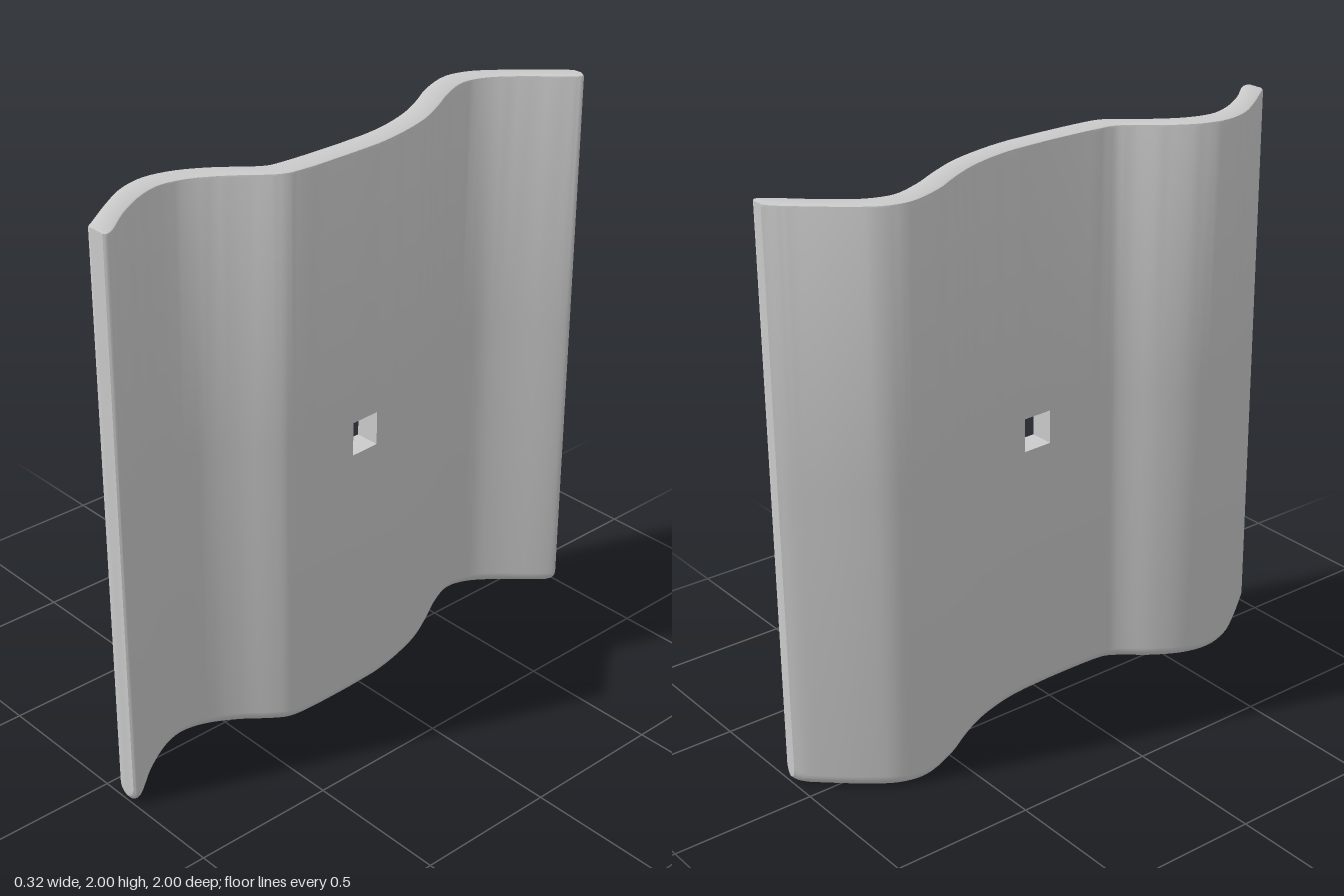
import * as THREE from 'three';
import { toCreasedNormals } from 'three/addons/utils/BufferGeometryUtils.js';

// Wavy plan of the plate, from back to front: [left-edge x, z, right-edge x, z]
const PLAN = [
  [0.09, -1, 0.13, -1], [0.065, -0.98, 0.152, -0.985], [0.03, -0.945, 0.135, -0.955],
  [-0.08, -0.82, 0.01, -0.82], [-0.142, -0.73, -0.052, -0.73], [-0.16, -0.645, -0.07, -0.645],
  [-0.115, -0.51, -0.03, -0.535], [-0.05, -0.4, 0.03, -0.43], [0.005, -0.29, 0.09, -0.31],
  [0.045, -0.16, 0.132, -0.165], [0.06, -0.055, 0.15, -0.055], [0.065, 0.055, 0.155, 0.055],
  [0.063, 0.27, 0.155, 0.265], [0.056, 0.32, 0.145, 0.325], [0.03, 0.365, 0.113, 0.375],
  [-0.04, 0.45, 0.045, 0.46], [-0.1, 0.555, -0.015, 0.565], [-0.12, 0.655, -0.033, 0.655],
  [-0.095, 0.755, -0.01, 0.74], [-0.03, 0.86, 0.06, 0.86], [0.055, 0.975, 0.147, 0.97],
  [0.068, 0.993, 0.152, 0.99], [0.08, 1, 0.145, 1],
];
const HOLE = 10;                    // plan segment that holds the square hole
const HOLE_Y = [0.94, 1.06];
const THICK = 0.09;

// Cross-section ring [fraction across thickness, y]: round at the bottom, small bevel on top
function crossSection() {
  const ring = [], r = 0.042, b = 0.008, n = 6;
  const arc = (cx, cy, rad, from, steps) => {
    for (let i = 0; i <= steps; i++) {
      const a = from - (i / steps) * Math.PI / 2;
      ring.push([(cx + rad * Math.cos(a)) / THICK, cy + rad * Math.sin(a)]);
    }
  };
  arc(r, r, r, -Math.PI / 2, n);
  const left = ring.length;
  ring.push([0, HOLE_Y[0]], [0, HOLE_Y[1]]);
  arc(b, 2 - b, b, Math.PI, 2);
  arc(THICK - b, 2 - b, b, Math.PI / 2, 2);
  const right = ring.length;
  ring.push([1, HOLE_Y[1]], [1, HOLE_Y[0]]);
  arc(THICK - r, r, r, 0, n);
  return { ring, left, right };
}

function plateGeometry() {
  const edge = (o) => new THREE.CatmullRomCurve3(
    PLAN.map((p) => new THREE.Vector3(p[o], 0, p[o + 1])), false, 'centripetal');
  const leftEdge = edge(0), rightEdge = edge(2);
  const { ring, left, right } = crossSection();
  const R = ring.length, last = PLAN.length - 1;

  // Stations along the plate; the hole segment stays undivided
  const params = [];
  let holeStation = 0;
  for (let i = 0; i < last; i++) {
    if (i === HOLE) holeStation = params.length;
    const steps = i === HOLE ? 1 : 4;
    for (let s = 0; s < steps; s++) params.push((i + s / steps) / last);
  }
  params.push(1);

  const pos = [], idx = [];
  const at = (k, i) => k * R + (i % R);
  const quad = (a, b, c, d) => idx.push(a, b, c, a, c, d);
  params.forEach((t, k) => {
    const l = leftEdge.getPoint(t), r = rightEdge.getPoint(t);
    // Lift the lower corners slightly at both ends
    const e = Math.max(0, 1 - Math.min(t, 1 - t) * last / 2);
    for (const [f, y] of ring) {
      const p = l.clone().lerp(r, f);
      pos.push(p.x, y < 0.5 ? y + 0.022 * e * e : y, THREE.MathUtils.clamp(p.z, -1, 1));
    }
  });

  // Skin, leaving the hole open on both faces
  const end = params.length - 1;
  for (let k = 0; k < end; k++) {
    for (let i = 0; i < R; i++) {
      if (k === holeStation && (i === left || i === right)) continue;
      quad(at(k, i), at(k + 1, i), at(k + 1, i + 1), at(k, i + 1));
    }
  }
  // End caps
  for (let i = 1; i < R - 1; i++) {
    idx.push(at(0, 0), at(0, i), at(0, i + 1));
    idx.push(at(end, 0), at(end, i + 1), at(end, i));
  }
  // Hole walls
  const h = holeStation;
  const nearSide = [at(h, left), at(h + 1, left), at(h + 1, left + 1), at(h, left + 1)];
  const farSide = [at(h, right + 1), at(h + 1, right + 1), at(h + 1, right), at(h, right)];
  for (let i = 0; i < 4; i++) {
    const j = (i + 1) % 4;
    quad(nearSide[i], nearSide[j], farSide[j], farSide[i]);
  }

  const g = new THREE.BufferGeometry();
  g.setAttribute('position', new THREE.Float32BufferAttribute(pos, 3));
  g.setIndex(idx);
  return toCreasedNormals(g, 0.6);
}

export function createModel() {
  const group = new THREE.Group();
  group.name = 'wavyPlate';
  const plate = new THREE.Mesh(plateGeometry(), new THREE.MeshStandardMaterial({ color: 0xcccccc }));
  plate.name = 'curvedPanelWithSquareHole';
  group.add(plate);
  return group;
}
